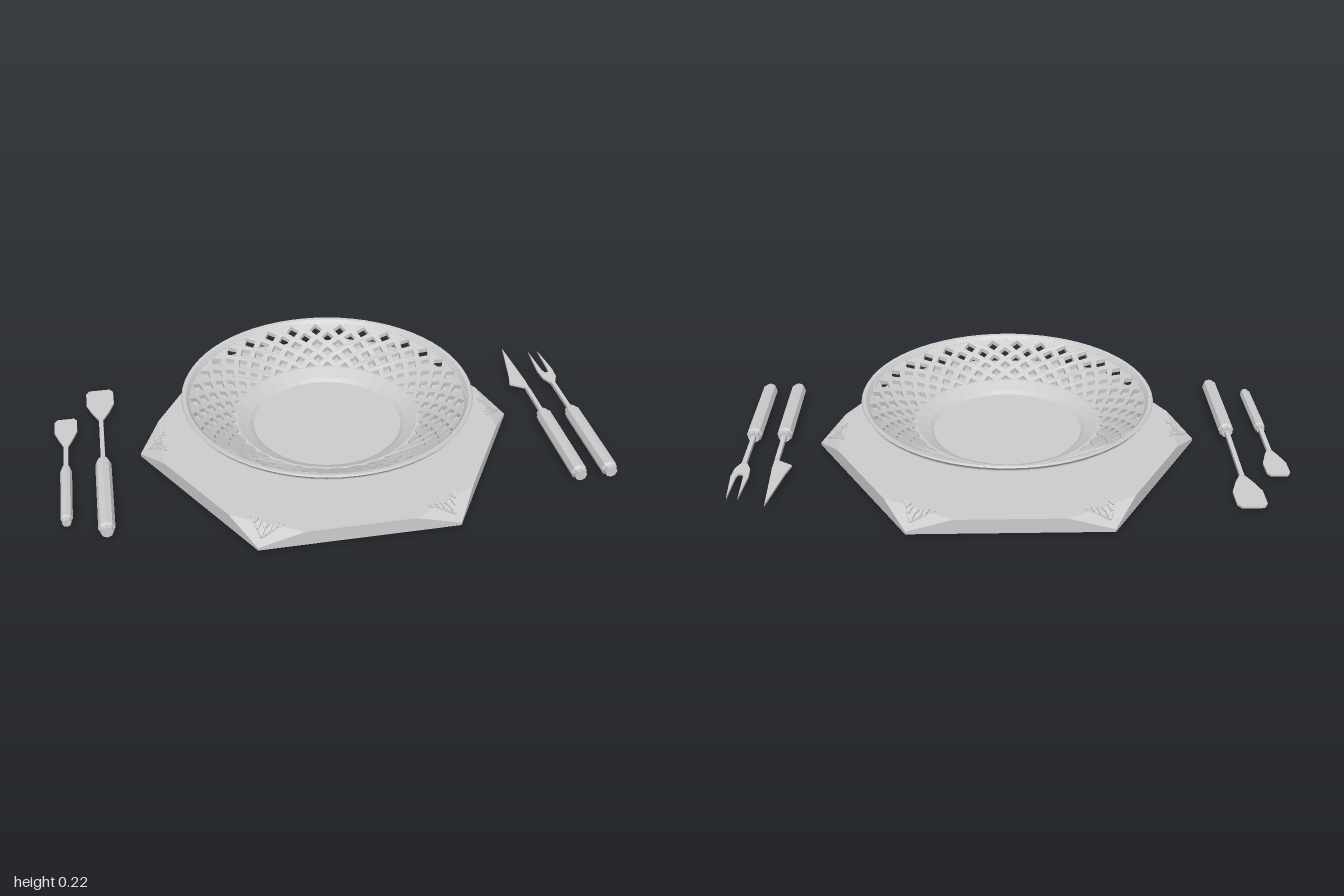
import * as THREE from 'three';
import { ConvexGeometry } from 'three/addons/geometries/ConvexGeometry.js';

const mat = new THREE.MeshStandardMaterial({ color: 0xcccccc, flatShading: true });
const v2 = (a) => a.map(([x, y]) => new THREE.Vector2(x, y));

function add(parent, name, geometry) {
  const mesh = new THREE.Mesh(geometry, mat);
  mesh.name = name;
  parent.add(mesh);
  return mesh;
}

// Solid of revolution whose axis runs along -z, points are [radius, distance]
const turned = (pts, sides = 8) => new THREE.LatheGeometry(v2(pts), sides).rotateX(-Math.PI / 2);

// Flat outline in [x, forward], lying down with a thickness in y
function flat(pts, thick) {
  return new THREE.ExtrudeGeometry(new THREE.Shape(v2(pts)), { depth: thick, bevelEnabled: false })
    .rotateX(-Math.PI / 2).translate(0, -thick / 2, 0);
}

// Thin bar between two points
function bar(a, b, width, height) {
  const d = b.clone().sub(a);
  const g = new THREE.BoxGeometry(width, height, d.length());
  const q = new THREE.Quaternion().setFromRotationMatrix(
    new THREE.Matrix4().lookAt(b, a, new THREE.Vector3(0, 1, 0)));
  return g.applyQuaternion(q).translate((a.x + b.x) / 2, (a.y + b.y) / 2, (a.z + b.z) / 2);
}

// Hexagonal stand with corners sloping down
const R = 0.7, CUT = 0.16, LOW = 0.025, BOTTOM = 0.015, TOP = 0.07;
function stand() {
  const g = new THREE.Group();
  g.name = 'stand';
  const corner = (i, y) => new THREE.Vector3(
    R * Math.cos(i * Math.PI / 3), y, R * Math.sin(i * Math.PI / 3));
  const pts = [];
  for (let i = 0; i < 6; i++) {
    pts.push(corner(i, BOTTOM), corner(i, LOW));
    for (const s of [-1, 1]) pts.push(corner(i, TOP).lerp(corner(i + s, TOP), CUT / R));
  }
  add(g, 'standSlab', new ConvexGeometry(pts));

  // Branching ornament on each sloped corner
  const slope = (TOP - LOW) / (CUT / 2);
  const P = (x, z) => new THREE.Vector3(x, Math.min(TOP, LOW + (R - x) * slope) + 0.003, z);
  const ornament = [];
  for (const s of [-1, 1]) {
    ornament.push([P(0.668, 0), P(0.605, s * 0.062)]);
    ornament.push([P(0.645, s * 0.022), P(0.618, s * 0.02)]);
    ornament.push([P(0.628, s * 0.04), P(0.606, s * 0.036)]);
    ornament.push([P(0.64, 0), P(0.622, s * 0.01)]);
  }
  ornament.push([P(0.668, 0), P(0.622, 0)]);
  for (let i = 0; i < 6; i++) {
    const c = new THREE.Group();
    c.name = 'cornerOrnament';
    for (const [a, b] of ornament) add(c, 'ornamentBranch', bar(a, b, 0.006, 0.008));
    c.rotation.y = i * Math.PI / 3;
    g.add(c);
  }
  return g;
}

// Plate with a pierced sloping wall
function plate() {
  const g = new THREE.Group();
  g.name = 'plate';
  add(g, 'plateBase', new THREE.LatheGeometry(v2([
    [0, 0.068], [0.28, 0.068], [0.365, 0.11], [0.335, 0.115], [0.29, 0.092],
    [0.275, 0.08], [0, 0.08]]), 32));

  // Ring in plan with staggered diamond holes, then lifted into a cone
  const N = 32, ROWS = 6, inner = 0.322, outer = 0.525;
  const ring = new THREE.Shape().absarc(0, 0, outer, 0, Math.PI * 2, false);
  ring.holes.push(new THREE.Path().absarc(0, 0, inner, 0, Math.PI * 2, true));
  for (let row = 0; row < ROWS; row++) {
    const r = 0.342 + row * 0.0285;
    const half = 0.0165 + row * 0.0008;
    const da = (Math.PI / N) * 0.56;
    for (let i = 0; i < N; i++) {
      const a = (i + (row % 2) / 2) * 2 * Math.PI / N;
      const polar = [[r - half, a], [r, a - da], [r + half, a], [r, a + da]];
      ring.holes.push(new THREE.Path(v2(polar.map(([q, t]) => [q * Math.cos(t), q * Math.sin(t)]))));
    }
  }
  const lattice = new THREE.ExtrudeGeometry(ring, { depth: 0.016, bevelEnabled: false, curveSegments: 64 })
    .rotateX(-Math.PI / 2);
  const p = lattice.attributes.position;
  for (let i = 0; i < p.count; i++) {
    const r = Math.hypot(p.getX(i), p.getZ(i));
    p.setY(i, p.getY(i) + 0.088 + (r - inner) * 0.58);
  }
  lattice.computeVertexNormals();
  add(g, 'plateLattice', lattice);

  add(g, 'plateRim', new THREE.LatheGeometry(v2([
    [0.508, 0.2], [0.522, 0.206], [0.535, 0.222], [0.531, 0.228], [0.518, 0.226], [0.506, 0.212], [0.508, 0.2]]), 64));
  return g;
}

// Utensil: turned handle, thin shaft and a flat head starting at the shaft's end
function utensil(name, { x, back, front, radius, reach, drop = 0, head, thick = 0.008 }) {
  const g = new THREE.Group();
  g.name = name;
  const len = back - front, r = radius, y = 0.033;
  add(g, name + 'Handle', turned([
    [0, 0], [r * 0.75, 0], [r * 0.78, 0.015], [r, 0.022], [r, len - 0.022],
    [r * 0.78, len - 0.016], [r * 0.75, len], [0, len]])).position.set(0, y, back);
  const end = new THREE.Vector3(0, y - drop, reach);
  add(g, name + 'Shaft', bar(new THREE.Vector3(0, y, front + 0.01), end, 0.016, 0.014));
  add(g, name + 'Head', flat(head, thick)).position.copy(end);
  g.position.x = x;
  return g;
}

// Spatula outline of a given half width and length
const paddle = (w, l) => [
  [-0.008, -0.01], [0.008, -0.01], [w * 0.6, l * 0.2], [w, l * 0.5], [w, l * 0.9], [w * 0.75, l],
  [-w * 0.75, l], [-w, l * 0.9], [-w, l * 0.5], [-w * 0.6, l * 0.2]];

export function createModel() {
  const model = new THREE.Group();
  model.name = 'placeSetting';
  const centre = new THREE.Group();
  centre.name = 'plateAndStand';
  centre.position.x = 0.007;
  centre.add(stand(), plate());
  model.add(centre);

  model.add(
    utensil('largeSpatula', {
      x: -0.83, back: 0.44, front: 0.03, radius: 0.029, reach: -0.27, drop: 0.016, head: paddle(0.053, 0.2) }),
    utensil('smallSpatula', {
      x: -0.963, back: 0.365, front: 0.05, radius: 0.021, reach: -0.105, drop: 0.008, head: paddle(0.042, 0.17) }),
    utensil('knife', {
      x: 0.85, back: 0.44, front: 0.03, radius: 0.03, reach: -0.14,
      head: [[-0.008, -0.01], [0.008, -0.01], [0.009, 0.06], [-0.004, 0.31], [-0.045, 0.1], [-0.06, 0.045], [-0.008, 0.01]] }),
    utensil('fork', {
      x: 0.965, back: 0.44, front: 0.03, radius: 0.03, reach: -0.17,
      head: [[-0.008, -0.01], [0.008, -0.01], [0.028, 0.035], [0.032, 0.09], [0.02, 0.235], [0.013, 0.09],
        [0.006, 0.07], [-0.006, 0.07], [-0.013, 0.09], [-0.02, 0.235], [-0.032, 0.09], [-0.028, 0.035]] }));
  return model;
}
